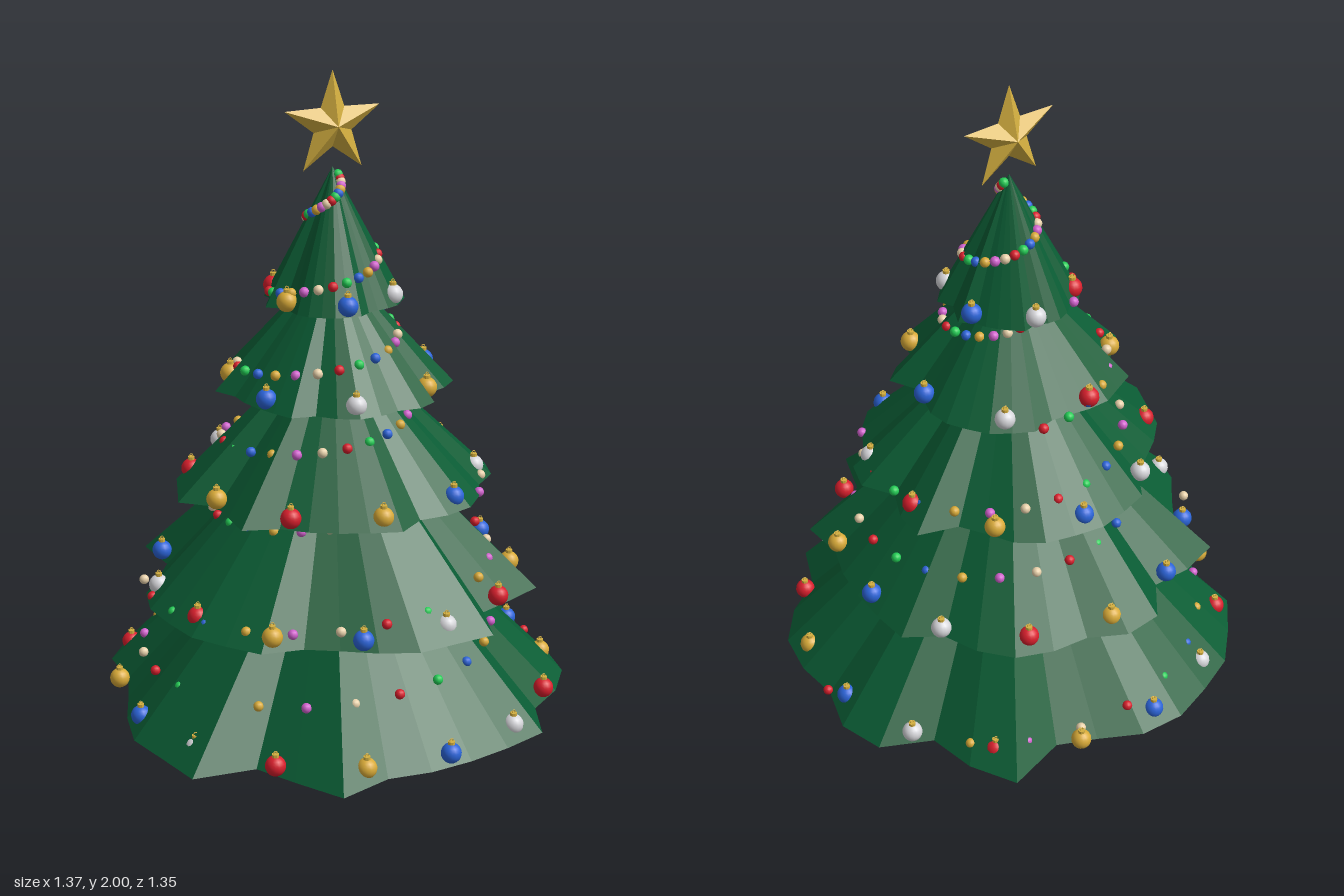
import * as THREE from 'three';

const mat = (name, color, flat = false) => {
  const m = new THREE.MeshStandardMaterial({ color, flatShading: flat });
  m.name = name;
  return m;
};

// Uneven rim of the boughs: radius at 32 equal angles, starting at +x and turning towards +z
const RIM = [
  0.65, 0.675, 0.69, 0.665, 0.625, 0.695, 0.665, 0.65, 0.645, 0.64, 0.725, 0.65, 0.605, 0.73, 0.695, 0.69,
  0.65, 0.615, 0.61, 0.68, 0.68, 0.695, 0.685, 0.69, 0.67, 0.62, 0.605, 0.735, 0.68, 0.61, 0.705, 0.705,
];
const RIM_MEAN = 0.667;

// Tiers of boughs, each with a row of baubles (first colour and angle in degrees)
const TIERS = [
  { y: 0.185, top: 0.88, r: 0.667, turn: 0, balls: 16, ballY: 0.222, start: 84, first: 0 },
  { y: 0.512, top: 1.09, r: 0.55, turn: 7, balls: 13, ballY: 0.547, start: 244, first: 0 },
  { y: 0.822, top: 1.27, r: 0.435, turn: 29, balls: 10, ballY: 0.853, start: 167, first: 1 },
  { y: 1.11, top: 1.48, r: 0.312, turn: 25, balls: 7, ballY: 1.138, start: 102, first: 3 },
  { y: 1.357, top: 1.735, r: 0.185, turn: 11, balls: 6, ballY: 1.384, start: 41, first: 3 },
];

const surfaceRadius = (t, y) => t.r * (t.top - y) / (t.top - t.y);

function tierGeometry(t) {
  const h = t.top - t.y;
  const geo = new THREE.ConeGeometry(1, h, RIM.length, 1);
  geo.translate(0, t.y + h / 2, 0);
  const p = geo.attributes.position;
  for (let i = 0; i < p.count; i++) {
    const x = p.getX(i), z = p.getZ(i);
    if (Math.hypot(x, z) < 0.01) continue;
    const step = Math.round(Math.atan2(z, x) / (2 * Math.PI) * RIM.length);
    const k = (step + t.turn + 2 * RIM.length) % RIM.length;
    const r = t.r * RIM[k] / RIM_MEAN;
    p.setXYZ(i, x * r, p.getY(i), z * r);
  }
  geo.computeVertexNormals();
  return geo;
}

// Five-pointed star with a raised centre on both faces
function starGeometry(outer, inner, depth) {
  const pos = [];
  const corner = (i) => {
    const a = Math.PI / 2 + i * Math.PI / 5, r = i % 2 ? inner : outer;
    return [r * Math.cos(a), r * Math.sin(a), 0];
  };
  for (let i = 0; i < 10; i++) {
    const a = corner(i), b = corner(i + 1);
    pos.push(...a, ...b, 0, 0, depth, ...b, ...a, 0, 0, -depth);
  }
  const geo = new THREE.BufferGeometry();
  geo.setAttribute('position', new THREE.Float32BufferAttribute(pos, 3));
  geo.computeVertexNormals();
  return geo;
}

export function createModel() {
  const model = new THREE.Group();
  model.name = 'decoratedTree';
  const tree = new THREE.Group();
  tree.name = 'tree';
  tree.position.set(-0.012, 0, 0.004);
  model.add(tree);

  const green = mat('needle green', 0x0a5c34, true);
  const brown = mat('bark brown', 0x5a3a1e, true);
  const starGold = mat('star gold', 0xd4af40, true);
  const red = mat('red', 0xd81e2c);
  const blue = mat('blue', 0x2b64d8);
  const gold = mat('bauble gold', 0xd8aa38);
  const silver = mat('silver', 0xd6d6da);
  const lightGreen = mat('light green', 0x22cc55);
  const pink = mat('pink', 0xd060cc);
  const cream = mat('cream', 0xf0d8b0);

  const add = (parent, name, geo, material, x = 0, y = 0, z = 0) => {
    const m = new THREE.Mesh(geo, material);
    m.name = name;
    m.position.set(x, y, z);
    parent.add(m);
    return m;
  };

  // Trunk and star
  add(tree, 'trunk', new THREE.CylinderGeometry(0.086, 0.09, 0.24, 16), brown, 0, 0.12, 0);
  add(tree, 'star', starGeometry(0.15, 0.06, 0.04), starGold, 0, 1.85, 0);

  // Boughs and hanging baubles
  const ballGeo = new THREE.SphereGeometry(0.029, 16, 12);
  const capGeo = new THREE.CylinderGeometry(0.01, 0.01, 0.01, 8);
  const loopGeo = new THREE.TorusGeometry(0.005, 0.0015, 5, 8);
  const ballColors = [blue, gold, red, silver];
  TIERS.forEach((t, n) => {
    add(tree, 'boughs' + (n + 1), tierGeometry(t), green);
    const r = surfaceRadius(t, t.ballY) + 0.002;
    for (let i = 0; i < t.balls; i++) {
      const a = THREE.MathUtils.degToRad(t.start + i * 360 / t.balls);
      const bauble = new THREE.Group();
      bauble.name = 'bauble';
      bauble.position.set(r * Math.cos(a), t.ballY, r * Math.sin(a));
      add(bauble, 'ball', ballGeo, ballColors[(t.first + i) % 4]);
      add(bauble, 'cap', capGeo, starGold, 0, 0.031, 0);
      add(bauble, 'hangingLoop', loopGeo, starGold, 0, 0.039, 0);
      tree.add(bauble);
    }
  });

  // String of lights winding seven times up the tree
  const lights = new THREE.Group();
  lights.name = 'stringOfLights';
  tree.add(lights);
  const bulbGeo = new THREE.SphereGeometry(0.0145, 10, 8);
  const bulbColors = [red, lightGreen, blue, gold, pink, cream];
  const count = 170;
  for (let i = 0; i < count; i++) {
    const f = i / count;
    const y = 0.2 + 1.52 * f;
    const a = -f * 7 * 2 * Math.PI;
    const t = TIERS.filter((tier) => tier.y <= y).pop();
    const r = surfaceRadius(t, y) + 0.003;
    add(lights, 'bulb', bulbGeo, bulbColors[i % 6], r * Math.cos(a), y, r * Math.sin(a));
  }
  return model;
}
